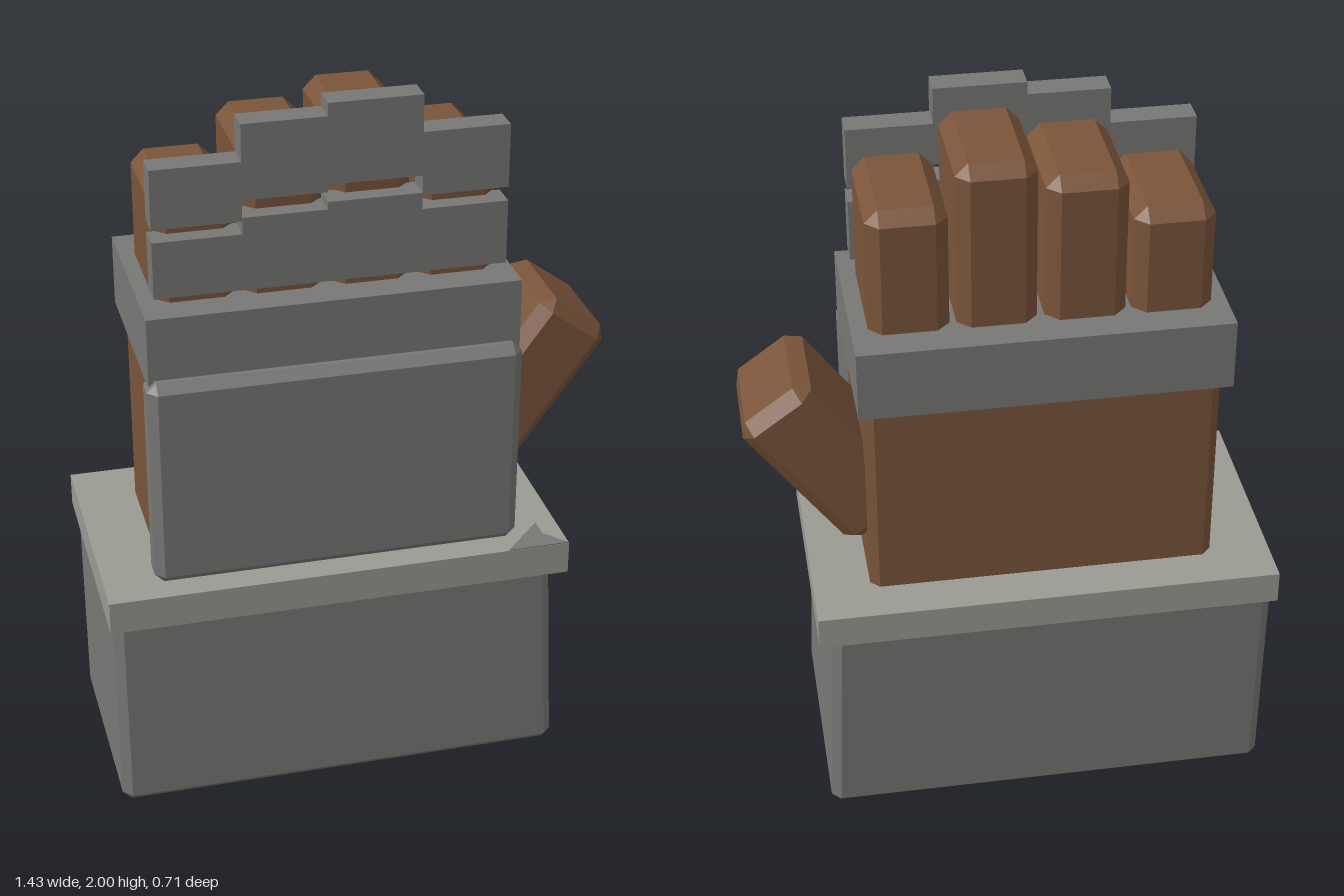
import * as THREE from 'three';
import { ConvexGeometry } from 'three/addons/geometries/ConvexGeometry.js';

const material = (name, color) => {
  const m = new THREE.MeshStandardMaterial({ color });
  m.name = name;
  return m;
};

// Box with flat chamfered edges; an optional warp moves each corner point.
function chamferBox(w, h, d, c, warp) {
  const points = [];
  for (const sx of [-1, 1]) for (const sy of [-1, 1]) for (const sz of [-1, 1]) {
    for (let axis = 0; axis < 3; axis++) {
      const p = new THREE.Vector3(sx * (w / 2 - c), sy * (h / 2 - c), sz * (d / 2 - c));
      p.setComponent(axis, p.getComponent(axis) + [sx, sy, sz][axis] * c);
      if (warp) warp(p);
      points.push(p);
    }
  }
  return new ConvexGeometry(points);
}

export function createModel() {
  const group = new THREE.Group();
  group.name = 'armouredHand';
  const steel = material('steel grey', 0x777775);
  const trim = material('pale trim', 0x999a92);
  const leather = material('brown leather', 0x7a5439);

  // Adds a box from its limits on each axis, chamfered when c > 0.
  function block(name, mat, [x0, x1], [y0, y1], [z0, z1], c = 0, warp) {
    const w = x1 - x0, h = y1 - y0, d = z1 - z0;
    const geo = c ? chamferBox(w, h, d, c, warp) : new THREE.BoxGeometry(w, h, d);
    const mesh = new THREE.Mesh(geo, mat);
    mesh.name = name;
    mesh.position.set((x0 + x1) / 2, (y0 + y1) / 2, (z0 + z1) / 2);
    group.add(mesh);
    return mesh;
  }

  // Cuff: slightly flared on one side, underside rising toward the front
  block('cuff', steel, [-0.7, 0.525], [0, 0.64], [-0.35, 0.315], 0.025, (p) => {
    const low = 0.5 - p.y / 0.64;
    if (p.x > 0) p.x += 0.025 * low;
    if (p.z > 0) p.z += 0.015 * low;
    else p.z += 0.02 * low;
    if (p.y < 0) p.y += p.z > 0 ? 0.025 : 0;
  });
  block('cuffRim', trim, [-0.715, 0.562], [0.61, 0.703], [-0.355, 0.353]);

  // Small grey patch on the rim's front corner
  const patch = new THREE.Shape([[0.39, -0.352], [0.56, -0.352], [0.505, -0.29], [0.505, -0.23]]
    .map(([x, y]) => new THREE.Vector2(x, y)));
  const patchMesh = new THREE.Mesh(
    new THREE.ExtrudeGeometry(patch, { depth: 0.004, bevelEnabled: false }), steel);
  patchMesh.name = 'rimCornerPatch';
  patchMesh.rotation.x = -Math.PI / 2;
  patchMesh.position.y = 0.702;
  group.add(patchMesh);

  // Palm, back-of-hand plate and knuckle band
  block('palm', leather, [-0.55, 0.405], [0.68, 1.34], [-0.235, 0.23], 0.025);
  block('handPlate', steel, [-0.58, 0.425], [0.71, 1.305], [0.205, 0.31], 0.025);
  block('knuckleBand', steel, [-0.572, 0.423], [1.282, 1.478], [-0.267, 0.27]);

  // Fingers, each with a lower and an upper armour plate
  const fingers = [
    { name: 'little', x: [-0.53, -0.315], top: 1.775, plate: [-0.543, -0.31], low: 1.67, up: [1.705, 1.865] },
    { name: 'ring', x: [-0.3, -0.085], top: 1.885, plate: [-0.31, -0.088], low: 1.715, up: [1.762, 1.965] },
    { name: 'middle', x: [-0.065, 0.147], top: 1.937, plate: [-0.088, 0.16], low: 1.735, up: [1.782, 2.0] },
    { name: 'index', x: [0.165, 0.378], top: 1.825, plate: [0.16, 0.39], low: 1.69, up: [1.728, 1.9] },
  ];
  for (const f of fingers) {
    block(f.name + 'Finger', leather, f.x, [1.42, f.top], [-0.177, 0.18], 0.035);
    block(f.name + 'LowerPlate', steel, f.plate, [1.515, f.low], [0.155, 0.23]);
    block(f.name + 'UpperPlate', steel, f.plate, f.up, [0.155, 0.23]);
  }

  // Thumb, leaning outward from the palm
  const thumb = block('thumb', leather, [0.385, 0.615], [0.83, 1.33], [-0.195, 0.135], 0.035);
  thumb.rotation.z = -THREE.MathUtils.degToRad(36);

  return group;
}
